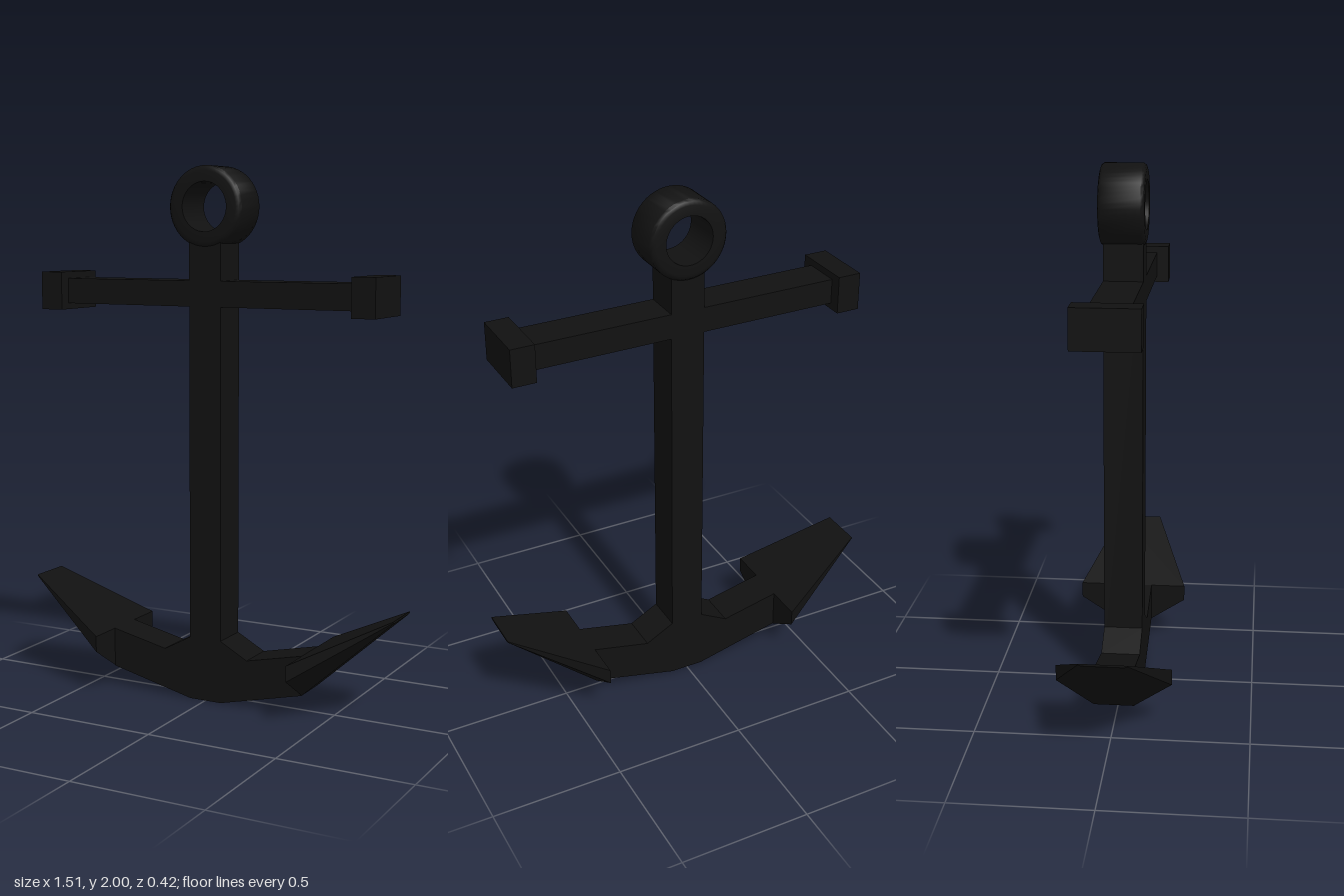
import * as THREE from 'three';
import { toCreasedNormals } from 'three/addons/utils/BufferGeometryUtils.js';
import { ConvexGeometry } from 'three/addons/geometries/ConvexGeometry.js';

const V = (x, y, z) => new THREE.Vector3(x, y, z);

export function createModel() {
  const group = new THREE.Group();
  const iron = new THREE.MeshStandardMaterial({ color: 0x111111 });

  const add = (name, geometry, x = 0, y = 0, z = 0) => {
    const mesh = new THREE.Mesh(geometry, iron);
    mesh.name = name;
    mesh.position.set(x, y, z);
    group.add(mesh);
    return mesh;
  };

  // Upright shank and horizontal stock
  add('shank', new THREE.BoxGeometry(0.13, 1.6, 0.146), 0, 0.93, 0.003);
  add('stock', new THREE.BoxGeometry(1.2, 0.095, 0.146), 0, 1.537, 0.003);

  // Wide band ring with bevelled outer rims
  const band = [
    [0.09, -0.083], [0.128, -0.083], [0.141, -0.079], [0.148, -0.07],
    [0.148, 0.07], [0.141, 0.079], [0.128, 0.083], [0.09, 0.083], [0.09, -0.083],
  ].map(([r, h]) => new THREE.Vector2(r, h));
  const ring = new THREE.LatheGeometry(band, 48).rotateX(Math.PI / 2);
  add('ring', toCreasedNormals(ring, 0.7), 0, 1.852, 0);

  // Curved arms: one mirrored outline, extruded through the depth
  const half = [[0.065, 0], [0.4, 0.08], [0.4, 0.23], [0.175, 0.18], [0.065, 0.24]];
  const mirrored = half.map(([x, y]) => [-x, y]).reverse();
  const outline = new THREE.Shape([...half, ...mirrored].map(([x, y]) => new THREE.Vector2(x, y)));
  const arms = new THREE.ExtrudeGeometry(outline, { depth: 0.146, bevelEnabled: false });
  add('arms', arms, 0, 0, -0.07);

  // Fluke: wide keeled root narrowing to a thin flat tip
  const flukePoints = [];
  for (const s of [-1, 1]) {
    flukePoints.push(
      V(0.4, 0.23, 0.212 * s), V(0.4, 0.17, 0.212 * s), V(0.4, 0.08, 0.073 * s),
      V(0.755, 0.406, 0.085 * s), V(0.755, 0.402, 0.085 * s), V(0.755, 0.398, 0.073 * s),
    );
  }
  const fluke = new ConvexGeometry(flukePoints);

  // Paired end parts
  for (const [side, s] of [['left', 1], ['right', -1]]) {
    add(`${side}StockCap`, new THREE.BoxGeometry(0.09, 0.143, 0.238), 0.64 * s, 1.538, 0.003);
    add(`${side}Fluke`, fluke).rotation.y = s > 0 ? 0 : Math.PI;
  }

  return group;
}
